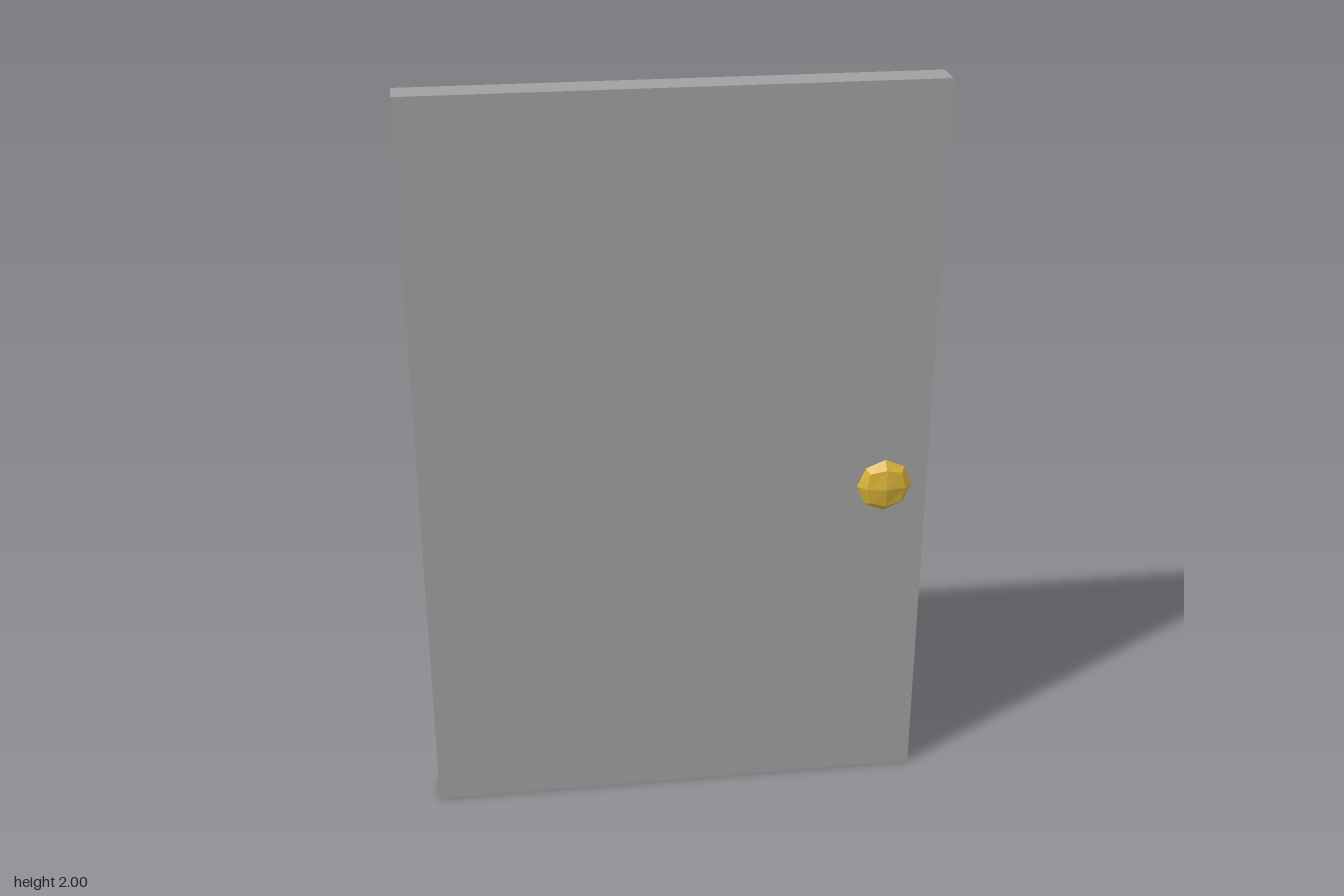
import * as THREE from 'three';

// Faceted ball: a cube with 2 x 2 quads per side, pushed out to a sphere
function facetedBall() {
  const geometry = new THREE.BoxGeometry(2, 2, 2, 2, 2, 2);
  const p = geometry.attributes.position;
  const v = new THREE.Vector3();
  for (let i = 0; i < p.count; i++) {
    v.fromBufferAttribute(p, i).normalize();
    p.setXYZ(i, v.x, v.y, v.z);
  }
  const flat = geometry.toNonIndexed();
  flat.computeVertexNormals();
  return flat;
}

export function createModel() {
  const grey = new THREE.MeshStandardMaterial({ color: 0xa0a0a0 });
  grey.name = 'door grey';
  const brass = new THREE.MeshStandardMaterial({ color: 0xd4af37 });
  brass.name = 'knob brass';

  const group = new THREE.Group();
  group.name = 'door';

  // Plain slab
  const panel = new THREE.Mesh(new THREE.BoxGeometry(1.35, 2, 0.087), grey);
  panel.name = 'doorPanel';
  panel.position.set(0, 1, -0.03);
  group.add(panel);

  // Flattened knob, its back set slightly into the panel
  const knob = new THREE.Mesh(facetedBall(), brass);
  knob.name = 'doorKnob';
  knob.scale.set(0.074, 0.074, 0.033);
  knob.position.set(0.552, 0.92, 0.0405);
  group.add(knob);

  return group;
}
